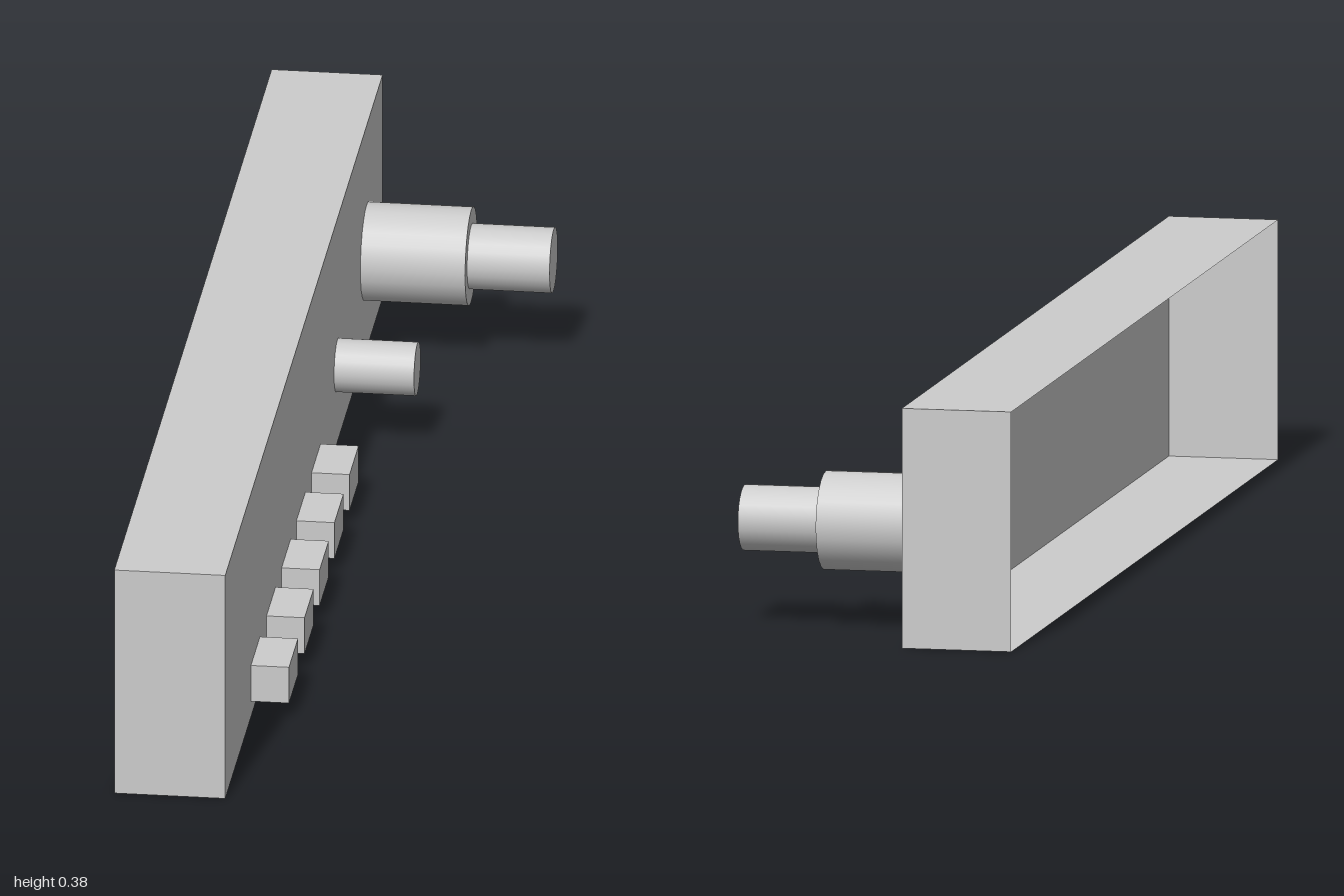
import * as THREE from 'three';

const PANEL_X = -0.06;

export function createModel() {
  const model = new THREE.Group();
  const grey = new THREE.MeshStandardMaterial({ color: 0xcccccc });
  const shellGrey = grey;
  shellGrey.name = 'plain grey';
  shellGrey.side = THREE.DoubleSide;

  const add = (name, geometry, x, y, z) => {
    const mesh = new THREE.Mesh(geometry, grey);
    mesh.name = name;
    mesh.position.set(x, y, z);
    model.add(mesh);
  };

  // Thin housing, open on its -x side
  const housing = new THREE.BoxGeometry(0.175, 0.38, 2);
  const index = Array.from(housing.index.array);
  index.splice(6, 6);
  housing.setIndex(index);
  housing.clearGroups();
  add('housing', housing, PANEL_X - 0.0875, 0.19, 0);

  // Round parts pointing out of the panel along +x
  const post = (name, radius, x0, x1, y, z) => {
    const geometry = new THREE.CylinderGeometry(radius, radius, x1 - x0, 24);
    geometry.rotateZ(-Math.PI / 2);
    add(name, geometry, (x0 + x1) / 2, y, z);
  };
  post('knobBase', 0.078, PANEL_X, 0.105, 0.167, -0.796);
  post('knobTip', 0.052, 0.105, 0.235, 0.167, -0.796);
  post('smallKnob', 0.0425, PANEL_X, 0.066, 0.131, -0.425);

  // Row of push buttons
  [0.616, 0.418, 0.226, 0.038, -0.154].forEach((z, i) => {
    add(`button${i + 1}`, new THREE.BoxGeometry(0.06, 0.061, 0.115), PANEL_X + 0.03, 0.057, z);
  });

  return model;
}
